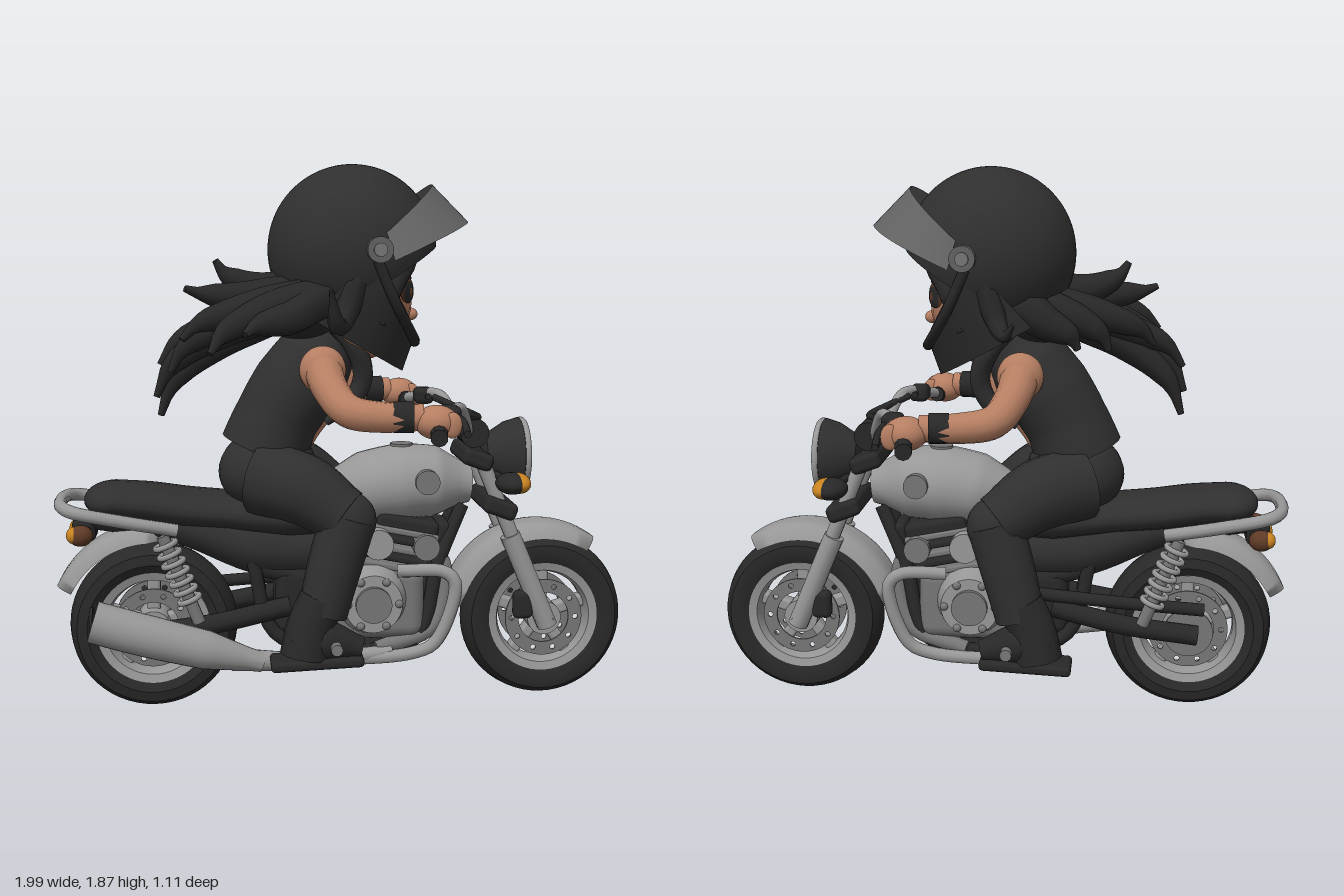
import * as THREE from 'three';
import { toCreasedNormals } from 'three/addons/utils/BufferGeometryUtils.js';
import { RoundedBoxGeometry } from 'three/addons/geometries/RoundedBoxGeometry.js';
import { ParametricGeometry } from 'three/addons/geometries/ParametricGeometry.js';

const paint = (name, color) => Object.assign(new THREE.MeshStandardMaterial({ color, side: THREE.DoubleSide }), { name });
const black = paint('black', 0x2f2f2f), rubber = paint('rubber', 0x282828);
const silver = paint('silver', 0x979797), steel = paint('steel', 0x767676);
const skin = paint('skin', 0xb57e62), amber = paint('amber', 0xc98320);
const lens = paint('lens', 0xcfc4b2), tint = paint('visor tint', 0x626262), brown = paint('brown', 0x5e3a26);

const { lerp } = THREE.MathUtils;
const SIDES = [1, -1];

export function createModel() {
  const root = new THREE.Group();
  let parent = root;
  const group = (name) => { parent = new THREE.Group(); parent.name = name; root.add(parent); return parent; };
  const add = (name, geo, mat, pos = [0, 0, 0], rot = [0, 0, 0]) => {
    const m = new THREE.Mesh(geo, mat);
    m.name = name; m.position.set(...pos); m.rotation.set(...rot);
    parent.add(m);
    return m;
  };
  const ball = (name, mat, pos, size, rot) => add(name, new THREE.SphereGeometry(1, 28, 18).scale(...size), mat, pos, rot);
  const box = (name, mat, pos, size, rot, r = 0.02) => add(name, new RoundedBoxGeometry(...size, 3, r), mat, pos, rot);
  // disc or drum with its axis along z
  const drum = (name, mat, pos, r, w, r2 = r) => add(name, new THREE.CylinderGeometry(r2, r, w, 32).rotateX(Math.PI / 2), mat, pos);
  const lathe = (pts, seg = 48) => toCreasedNormals(new THREE.LatheGeometry(pts.map((p) => new THREE.Vector2(...p)), seg), 0.7);
  const sheet = (name, mat, fn, nu = 32, nv = 8) => add(name, new ParametricGeometry((u, v, t) => t.set(...fn(u, v)), nu, nv), mat);
  // tube along points with varying radius, closed ends and optional z widening
  const limb = (name, mat, pts, radii, sz = 1, seg = 20, sides = 14) => {
    const curve = new THREE.CatmullRomCurve3(pts.map((p) => new THREE.Vector3(...p)));
    const g = new THREE.TubeGeometry(curve, seg, 1, sides, false), a = g.attributes.position, v = new THREE.Vector3();
    for (let i = 0; i <= seg; i++) {
      const c = curve.getPointAt(i / seg), end = i <= 1 ? curve.getPointAt(0) : i >= seg - 1 ? curve.getPointAt(1) : c;
      const k = (i / seg) * (radii.length - 1), n = Math.min(Math.floor(k), radii.length - 2);
      const r = i === 0 || i === seg ? 0 : lerp(radii[n], radii[n + 1], k - n);
      for (let j = 0; j <= sides; j++) {
        const q = i * (sides + 1) + j;
        v.fromBufferAttribute(a, q).sub(c).multiplyScalar(r).add(end);
        a.setXYZ(q, v.x, v.y, v.z * sz);
      }
    }
    return add(name, toCreasedNormals(g, 0.9), mat);
  };
  const pipe = (name, mat, pts, r, seg = 24) => limb(name, mat, pts, [r, r], 1, seg, 10);

  // Wheels
  for (const [label, x, w] of [['front', 0.705, 0.075], ['rear', -0.67, 0.088]]) {
    group(label + 'Wheel').position.set(x, 0.29, 0);
    const turn = (pts) => lathe(pts, 56).rotateX(Math.PI / 2);
    add('tire', turn([[0.19, -w * 0.75], [0.225, -w * 0.98], [0.26, -w * 0.9], [0.282, -w * 0.5], [0.29, 0],
      [0.282, w * 0.5], [0.26, w * 0.9], [0.225, w * 0.98], [0.19, w * 0.75]]), rubber);
    add('rim', turn([[0.196, -w * 0.8], [0.168, -w * 0.7], [0.158, -0.02], [0.158, 0.02], [0.168, w * 0.7], [0.196, w * 0.8], [0.196, -w * 0.8]]), silver);
    drum('hub', silver, [0, 0, 0], 0.06, 0.15);
    drum('axle', steel, [0, 0, 0], 0.022, 0.25);
    for (let i = 0; i < 5; i++) {
      const a = (i / 5) * Math.PI * 2 + 0.3;
      box('spoke', silver, [Math.cos(a) * 0.105, Math.sin(a) * 0.105, 0], [0.14, 0.045, 0.05], [0, 0, a], 0.012);
    }
    for (const s of SIDES) {
      const disc = new THREE.Shape().absarc(0, 0, 0.138, 0, Math.PI * 2);
      disc.holes.push(new THREE.Path().absarc(0, 0, 0.09, 0, Math.PI * 2));
      for (let i = 0; i < 10; i++) {
        disc.holes.push(new THREE.Path().absarc(Math.cos(i * 0.628) * 0.115, Math.sin(i * 0.628) * 0.115, 0.009, 0, Math.PI * 2));
      }
      add('brakeDisc', new THREE.ExtrudeGeometry(disc, { depth: 0.008, bevelEnabled: false, curveSegments: 24 }), steel, [0, 0, s * 0.062 - 0.004]);
    }
  }

  // Fenders
  group('fenders');
  const fender = (name, cx, R, a0, a1, w) => sheet(name, silver, (u, v) => {
    const a = lerp(a0, a1, u), k = v * 2 - 1, r = R - 0.055 * k ** 4;
    return [cx + Math.cos(a) * r, 0.29 + Math.sin(a) * r, k * w * Math.min(1, 0.65 + 4 * Math.min(u, 1 - u))];
  }, 28, 12);
  fender('frontFender', 0.69, 0.345, 0.95, 2.98, 0.1);
  fender('rearFender', -0.67, 0.36, 1.5, 2.72, 0.1);

  // Fork, steering and lights
  group('frontEnd');
  for (const s of SIDES) {
    pipe('forkTube', silver, [[0.46, 0.88, s * 0.1], [0.6, 0.54, s * 0.1]], 0.026);
    pipe('forkLeg', silver, [[0.57, 0.6, s * 0.1], [0.71, 0.27, s * 0.1]], 0.036);
    pipe('handlebar', silver, [[0.42, 0.94, s * 0.05], [0.41, 0.98, s * 0.12], [0.37, 1.06, s * 0.2], [0.29, 1.04, s * 0.34], [0.25, 1.02, s * 0.42]], 0.019);
    pipe('grip', rubber, [[0.27, 1.03, s * 0.36], [0.24, 1.01, s * 0.55]], 0.028);
    pipe('lever', rubber, [[0.33, 1.05, s * 0.22], [0.345, 1.04, s * 0.38], [0.33, 1.02, s * 0.54]], 0.012);
    box('switchBox', rubber, [0.32, 1.05, s * 0.28], [0.07, 0.06, 0.08]);
    pipe('signalStalk', rubber, [[0.52, 0.81, s * 0.08], [0.54, 0.81, s * 0.2]], 0.014);
    ball('signalLens', amber, [0.562, 0.81, s * 0.247], [0.04, 0.034, 0.069]);
    ball('signalBack', rubber, [0.538, 0.81, s * 0.25], [0.054, 0.036, 0.072]);
    drum('gauge', rubber, [0.44, 0.96, s * 0.06], 0.05, 0.09);
    box('caliper', rubber, [0.62, 0.35, s * 0.1], [0.07, 0.1, 0.05]);
  }
  box('upperClamp', rubber, [0.45, 0.87, 0], [0.11, 0.06, 0.27], [0, 0, -0.35]);
  box('lowerClamp', rubber, [0.53, 0.7, 0], [0.12, 0.06, 0.29], [0, 0, -0.35]);
  pipe('cable', rubber, [[0.35, 1.05, 0.2], [0.46, 1.01, 0.05], [0.35, 1.05, -0.2]], 0.013);
  add('headlightShell', lathe([[0, -0.12], [0.07, -0.1], [0.115, -0.03], [0.13, 0.02], [0.12, 0.03]]).rotateZ(-Math.PI / 2), black, [0.595, 0.87, 0]);
  add('headlightRim', new THREE.TorusGeometry(0.118, 0.014, 12, 48).rotateY(Math.PI / 2), silver, [0.625, 0.87, 0]);
  ball('headlightLens', lens, [0.62, 0.87, 0], [0.03, 0.113, 0.113]);

  // Tank, seat and tail
  group('body');
  limb('tank', silver, [[-0.05, 0.73, 0], [0.1, 0.765, 0], [0.25, 0.78, 0], [0.36, 0.775, 0], [0.44, 0.77, 0]], [0.08, 0.125, 0.135, 0.125, 0.06], 1.12, 28, 24);
  for (const s of SIDES) drum('tankDisc', steel, [0.27, 0.8, s * 0.147], 0.042, 0.03);
  drum('fuelCap', steel, [0.2, 0.9, 0], 0.04, 0.03).rotation.x = Math.PI / 2;
  limb('seat', black, [[-0.8, 0.735, 0], [-0.68, 0.725, 0], [-0.55, 0.705, 0], [-0.25, 0.68, 0], [0, 0.68, 0]], [0.063, 0.066, 0.066, 0.08, 0.07], 2.2, 28, 20);
  ball('seatTail', black, [-0.8, 0.735, 0], [0.1, 0.062, 0.139]);
  limb('tailCover', black, [[-0.88, 0.68, 0], [-0.55, 0.64, 0], [-0.3, 0.57, 0], [0, 0.55, 0]], [0.045, 0.07, 0.11, 0.1], 1.3, 20, 16);
  pipe('grabRail', silver, [[-0.58, 0.65, 0.15], [-0.75, 0.685, 0.17], [-0.92, 0.72, 0.165], [-0.965, 0.73, 0.11], [-0.965, 0.73, -0.11],
    [-0.92, 0.72, -0.165], [-0.75, 0.685, -0.17], [-0.58, 0.65, -0.15]], 0.022, 60);
  box('tailLampHousing', rubber, [-0.9, 0.635, 0], [0.08, 0.08, 0.12]);
  ball('tailLamp', amber, [-0.933, 0.635, 0], [0.02, 0.028, 0.042]);
  for (const s of SIDES) {
    pipe('rearSignalStalk', rubber, [[-0.87, 0.64, 0], [-0.9, 0.635, s * 0.12]], 0.012);
    ball('rearSignalBack', brown, [-0.905, 0.63, s * 0.11], [0.042, 0.036, 0.035]);
    ball('rearSignal', amber, [-0.927, 0.632, s * 0.11], [0.026, 0.029, 0.031]);
  }

  // Frame, swingarm and suspension
  group('chassis');
  for (const s of SIDES) {
    pipe('downTube', rubber, [[0.41, 0.7, s * 0.04], [0.32, 0.5, s * 0.08], [0.24, 0.24, s * 0.1], [0.0, 0.2, s * 0.1], [-0.25, 0.27, s * 0.1], [-0.33, 0.55, s * 0.1]], 0.024, 36);
    pipe('swingarm', rubber, [[-0.2, 0.37, s * 0.11], [-0.45, 0.32, s * 0.13], [-0.7, 0.29, s * 0.13]], 0.034);
    pipe('shockRod', steel, [[-0.63, 0.63, s * 0.14], [-0.51, 0.33, s * 0.15]], 0.022);
    for (let i = 0; i < 7; i++) {
      const t = i / 7;
      add('shockCoil', new THREE.TorusGeometry(0.036, 0.01, 8, 20).rotateX(Math.PI / 2), silver, [lerp(-0.62, -0.53, t), lerp(0.6, 0.38, t), s * 0.145], [0, 0, 0.38]);
    }
    pipe('crashBar', silver, [[0.17, 0.49, s * 0.14], [0.33, 0.49, s * 0.17], [0.365, 0.45, s * 0.175], [0.3, 0.24, s * 0.16], [0.22, 0.2, s * 0.15], [-0.1, 0.18, s * 0.14]], 0.023, 40);
    pipe('footPeg', steel, [[-0.06, 0.28, s * 0.12], [-0.06, 0.285, s * 0.37]], 0.02);
  }
  box('frontPanel', rubber, [0.3, 0.45, 0], [0.05, 0.4, 0.15], [0, 0, -0.25]);
  box('sidePanel', black, [-0.16, 0.53, 0], [0.34, 0.2, 0.22], [0, 0, -0.25], 0.05);
  box('bellyFrame', rubber, [0.02, 0.2, 0], [0.42, 0.04, 0.22], [0, 0, 0], 0.015);
  box('bellyPan', brown, [0.1, 0.175, 0], [0.2, 0.025, 0.1], [0, 0, 0], 0.01);
  drum('sprocket', steel, [-0.67, 0.29, -0.1], 0.085, 0.012);
  pipe('chainGuard', rubber, [[-0.15, 0.42, -0.12], [-0.45, 0.4, -0.13], [-0.72, 0.38, -0.12]], 0.022);

  // Engine and exhaust
  group('engine');
  box('crankcase', steel, [0.06, 0.37, 0], [0.42, 0.26, 0.27], [0, 0, 0], 0.05);
  box('gearbox', rubber, [-0.14, 0.38, 0], [0.22, 0.24, 0.22], [0, 0, 0], 0.04);
  for (let i = 0; i < 5; i++) box('coolingFin', i % 2 ? rubber : steel, [0.15 + i * 0.012, 0.5 + i * 0.03, 0], [0.24, 0.022, 0.26], [0, 0, -0.2], 0.008);
  box('cylinderHead', rubber, [0.21, 0.64, 0], [0.22, 0.06, 0.24], [0, 0, -0.2]);
  for (const s of SIDES) {
    drum('sideCover', silver, [0.08, 0.39, s * 0.16], s > 0 ? 0.125 : 0.1, 0.08, s > 0 ? 0.1 : 0.125);
    drum('coverCap', steel, [0.08, 0.39, s * 0.205], 0.062, 0.025);
    for (let i = 0; i < 6; i++) ball('coverBolt', steel, [0.08 + Math.cos(i * 1.047) * 0.088, 0.39 + Math.sin(i * 1.047) * 0.088, s * 0.2], [0.014, 0.014, 0.012]);
    drum('carburetor', silver, [0.1, 0.59, s * 0.13], 0.052, 0.09);
    drum('headCap', steel, [0.27, 0.57, s * 0.12], 0.045, 0.06);
    pipe('header', steel, [[0.25, 0.58, s * 0.06], [0.34, 0.5, s * 0.07], [0.3, 0.28, s * 0.09], [0.1, 0.21, s * 0.12]], 0.028);
  }
  limb('exhaustPipe', silver, [[0.15, 0.2, 0.13], [-0.15, 0.19, 0.17], [-0.4, 0.215, 0.21]], [0.026, 0.028, 0.04]);
  limb('muffler', silver, [[-0.3, 0.2, 0.2], [-0.42, 0.235, 0.215], [-0.68, 0.31, 0.23], [-0.86, 0.365, 0.232]], [0.03, 0.065, 0.07, 0.07], 1, 24, 24);
  drum('mufflerTip', rubber, [-0.863, 0.366, 0.232], 0.048, 0.01).rotation.set(0, Math.PI / 2, 0.3);

  // Rider: torso, legs and arms
  group('riderBody');
  ball('hips', black, [-0.27, 0.835, 0], [0.17, 0.14, 0.2], [0, 0, 0.2]);
  limb('vest', black, [[-0.28, 0.9, 0], [-0.23, 1.02, 0], [-0.14, 1.16, 0], [-0.07, 1.25, 0], [-0.03, 1.31, 0]], [0.155, 0.145, 0.15, 0.14, 0.09], 1.12, 24, 24);
  limb('bareFront', skin, [[-0.14, 0.93, 0], [-0.09, 1.03, 0], [-0.01, 1.14, 0], [0.02, 1.22, 0]], [0.03, 0.052, 0.07, 0.05], 0.8);
  limb('neck', skin, [[-0.08, 1.22, 0], [0.02, 1.36, 0]], [0.09, 0.08]);
  for (const s of SIDES) {
    limb('lapel', black, [[-0.07, 1.0, s * 0.05], [0.01, 1.06, s * 0.06], [0.055, 1.15, s * 0.07], [0.03, 1.25, s * 0.1], [-0.05, 1.33, s * 0.12]], [0.012, 0.03, 0.035, 0.035, 0.02]);
    limb('thigh', black, [[-0.3, 0.82, s * 0.1], [-0.15, 0.785, s * 0.175], [-0.02, 0.7, s * 0.225]], [0.13, 0.122, 0.097]);
    ball('knee', black, [-0.015, 0.69, s * 0.228], [0.1, 0.1, 0.09]);
    limb('shin', black, [[-0.01, 0.7, s * 0.228], [-0.06, 0.53, s * 0.243], [-0.1, 0.38, s * 0.255]], [0.096, 0.092, 0.084]);
    limb('boot', rubber, [[-0.1, 0.43, s * 0.257], [-0.14, 0.34, s * 0.265], [-0.16, 0.24, s * 0.272]], [0.078, 0.08, 0.085]);
    limb('toe', rubber, [[-0.2, 0.285, s * 0.272], [-0.1, 0.295, s * 0.275], [0.03, 0.265, s * 0.28]], [0.06, 0.068, 0.035]);
    box('sole', rubber, [-0.12, 0.225, s * 0.275], [0.31, 0.035, 0.13], [0, 0, 0.04], 0.015);
    ball('shoulder', skin, [-0.09, 1.19, s * 0.175], [0.078, 0.08, 0.06]);
    limb('arm', skin, [[-0.09, 1.19, s * 0.175], [-0.07, 1.13, s * 0.285], [-0.02, 1.075, s * 0.38], [0.08, 1.06, s * 0.41], [0.21, 1.06, s * 0.425]], [0.066, 0.058, 0.054, 0.049, 0.042], 1, 28);
    pipe('wristband', rubber, [[0.115, 1.06, s * 0.413], [0.18, 1.06, s * 0.421]], 0.05, 8);
    ball('hand', skin, [0.25, 1.045, s * 0.435], [0.07, 0.055, 0.065]);
    for (let i = 0; i < 4; i++) ball('finger', skin, [0.295, 1.04, s * (0.395 + i * 0.027)], [0.03, 0.042, 0.016]);
  }

  // Face, features sitting on an egg-shaped surface
  group('face');
  ball('head', skin, [0.06, 1.42, 0], [0.17, 0.21, 0.215]);
  const onFace = (y, z) => [0.06 + 0.17 * Math.sqrt(1 - ((y - 1.42) / 0.21) ** 2 - (z / 0.215) ** 2), y, z];
  ball('nose', skin, [0.228, 1.365, 0], [0.025, 0.022, 0.022]);
  pipe('mouth', brown, [onFace(1.325, 0.07), onFace(1.308, 0.03), onFace(1.306, -0.03), onFace(1.325, -0.07)], 0.006);
  for (const s of SIDES) {
    ball('eyelid', brown, onFace(1.452, s * 0.122), [0.006, 0.042, 0.062], [0, -s * 0.5, 0]);
    ball('eye', rubber, onFace(1.445, s * 0.115), [0.009, 0.038, 0.052], [0, -s * 0.5, 0]);
    ball('iris', brown, onFace(1.443, s * 0.105), [0.013, 0.02, 0.02], [0, -s * 0.5, 0]);
    limb('eyebrow', rubber, [onFace(1.488, s * 0.045), onFace(1.518, s * 0.1), onFace(1.51, s * 0.15)], [0.008, 0.011, 0.004]);
    limb('fringe', rubber, [[0.2, 1.59, s * 0.02], [0.2, 1.56, s * 0.1], [0.15, 1.48, s * 0.18], [0.1, 1.34, s * 0.21]], [0.02, 0.04, 0.035, 0.01]);
  }

  // Helmet with raised visor
  group('helmet');
  add('shell', new THREE.SphereGeometry(0.288, 48, 32, 0, Math.PI * 2, 0, 2.06).rotateZ(0.55), black, [0.025, 1.583, 0]);
  const halfRing = (name, mat, top, bottom, arc = Math.PI) => sheet(name, mat, (u, v) => {
    const a = (u - 0.5) * arc, c = Math.cos(a), [x0, x1, y0, y1, w] = top.map((q, i) => lerp(q, bottom[i], v));
    return [lerp(x0, x1, c), lerp(y0, y1, c), Math.sin(a) * w];
  }, 40, 8);
  halfRing('chinGuard', black, [0.07, 0.24, 1.58, 1.29, 0.28], [-0.13, 0.2, 1.36, 1.17, 0.235]);
  halfRing('chinLining', rubber, [0.06, 0.215, 1.57, 1.29, 0.262], [-0.12, 0.18, 1.36, 1.18, 0.22]);
  pipe('chinLip', rubber, [[0.08, 1.55, 0.275], [0.15, 1.4, 0.245], [0.215, 1.3, 0.14], [0.24, 1.27, 0], [0.215, 1.3, -0.14], [0.15, 1.4, -0.245], [0.08, 1.55, -0.275]], 0.018, 40);
  halfRing('visor', tint, [0.11, 0.295, 1.64, 1.805, 0.27], [0.13, 0.42, 1.55, 1.68, 0.325]);
  for (const s of SIDES) {
    drum('visorHinge', tint, [0.085, 1.585, s * 0.295], 0.042, 0.05);
    drum('hingeCap', steel, [0.085, 1.585, s * 0.322], 0.022, 0.012);
  }

  // Wind-blown hair: root z, middle point, tip point
  group('hair');
  const strands = [
    [0.0, -0.45, 1.26, 0.05, -0.63, 1.03, 0.06], [0.08, -0.45, 1.3, 0.12, -0.64, 1.1, 0.12], [0.14, -0.42, 1.34, 0.19, -0.59, 1.19, 0.2],
    [0.16, -0.36, 1.39, 0.24, -0.55, 1.3, 0.28], [0.18, -0.3, 1.38, 0.27, -0.46, 1.26, 0.37], [0.1, -0.36, 1.43, 0.14, -0.54, 1.46, 0.18],
    [0.04, -0.31, 1.46, 0.06, -0.44, 1.55, 0.08], [-0.06, -0.36, 1.38, -0.05, -0.53, 1.28, 0], [-0.1, -0.28, 1.37, -0.11, -0.38, 1.27, -0.1],
    [-0.02, -0.42, 1.34, 0.02, -0.63, 1.2, 0.04], [0.18, -0.2, 1.37, 0.28, -0.35, 1.32, 0.37], [-0.16, -0.17, 1.37, -0.17, -0.28, 1.28, -0.17],
  ];
  for (const [z, mx, my, mz, tx, ty, tz] of strands) {
    limb('strand', rubber, [[-0.06, 1.43, z], [lerp(-0.06, mx, 0.5), lerp(1.44, my, 0.45), lerp(z, mz, 0.5)], [mx, my, mz], [lerp(mx, tx, 0.75), lerp(my, ty, 0.5), lerp(mz, tz, 0.6)], [tx, ty, tz]],
      [0.06, 0.066, 0.062, 0.052, 0.038, 0.004], 1, 24, 8);
  }
  ball('hairMass', rubber, [-0.12, 1.4, 0.01], [0.15, 0.12, 0.19], [0, 0, 0.5]);
  for (const [s, y, z] of [[1, 1.46, 0.385], [-1, 1.38, 0.345]]) {
    limb('sideLock', rubber, [[0.02, 1.5, s * 0.23], [-0.02, 1.38, s * 0.26], [-0.05, 1.34, s * 0.31], [-0.08, y, s * z]], [0.045, 0.04, 0.028, 0.003], 1, 20, 8);
  }
  return root;
}
